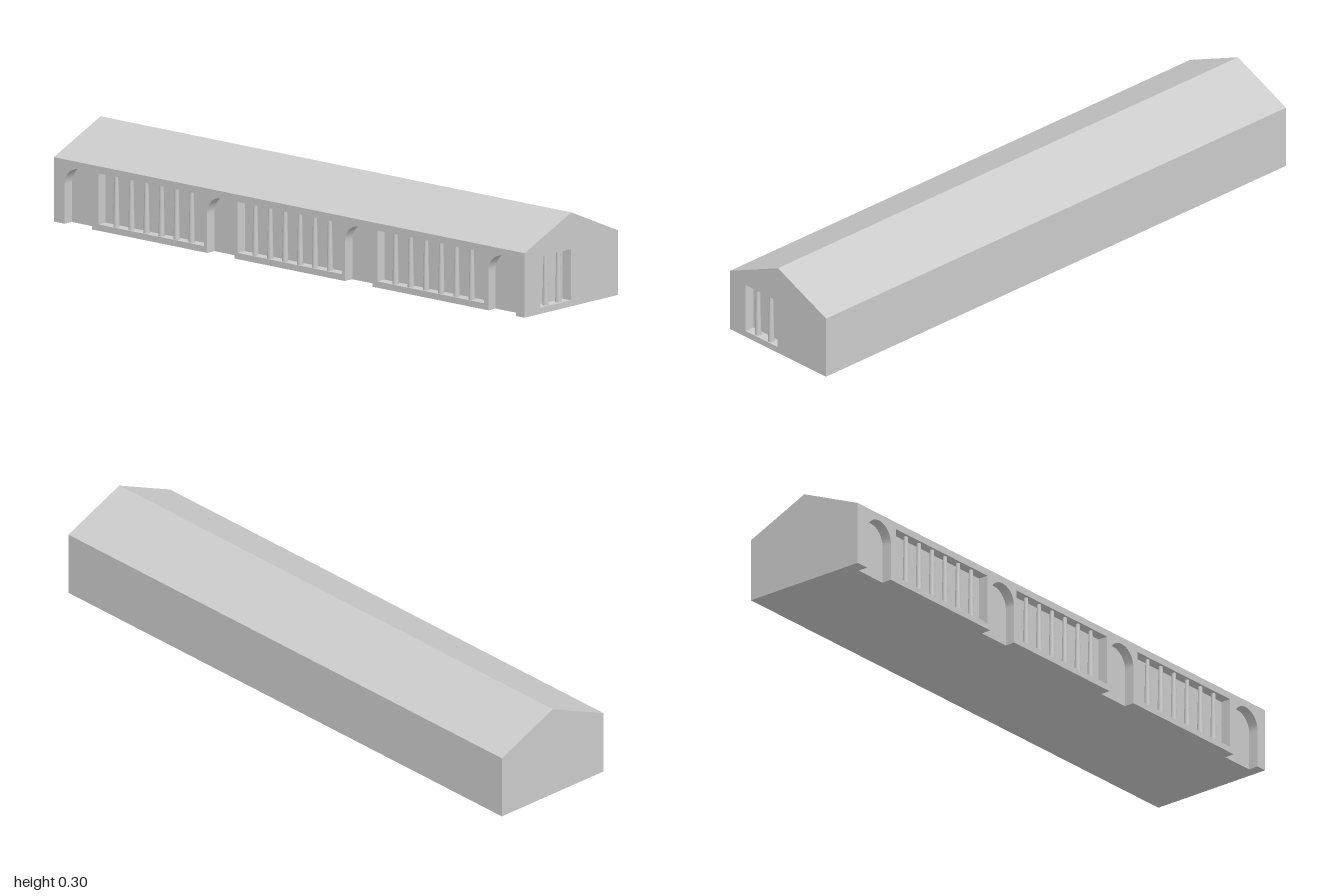
import * as THREE from 'three';

const HALF_W = 0.216, HALF_L = 0.993;   // half width and half length
const EAVE = 0.206, RIDGE = 0.3;
const DEPTH = 0.034;                    // depth of niches and openings
const SILL = 0.02, HEAD = 0.183;        // bottom and top of the openings

export function createModel() {
  const hall = new THREE.Group();
  hall.name = 'hall';
  const material = new THREE.MeshStandardMaterial({ color: 0xcccccc });

  const add = (geometry, name, x = 0, y = 0, z = 0) => {
    const mesh = new THREE.Mesh(geometry, material);
    mesh.name = name;
    mesh.position.set(x, y, z);
    hall.add(mesh);
    return mesh;
  };
  const polygon = (points) => new THREE.Shape(points.map(([x, y]) => new THREE.Vector2(x, y)));
  const rectangleHole = (a, b) => new THREE.Path(
    [[a, SILL], [a, HEAD], [b, HEAD], [b, SILL]].map(([x, y]) => new THREE.Vector2(x, y)));
  const extrude = (shape, depth) => new THREE.ExtrudeGeometry(shape, { depth, bevelEnabled: false, curveSegments: 16 });

  // Main body with gabled roof, stepped in behind the arcade wall
  const wallTop = 0.195;
  const body = polygon([
    [-HALF_W + DEPTH, 0], [HALF_W, 0], [HALF_W, EAVE], [0, RIDGE],
    [-HALF_W, EAVE], [-HALF_W, wallTop], [-HALF_W + DEPTH, wallTop],
  ]);
  add(extrude(body, 2 * HALF_L - DEPTH), 'body', 0, 0, -HALF_L);

  // Front gable wall with a rectangular opening
  const gable = polygon([[-HALF_W, 0], [HALF_W, 0], [HALF_W, EAVE], [0, RIDGE], [-HALF_W, EAVE]]);
  gable.holes.push(rectangleHole(-0.146, -0.003));
  add(extrude(gable, DEPTH), 'frontGable', 0, 0, HALF_L - DEPTH);

  // Arcade wall: arched niches cut up from the ground, bays cut as holes
  const arches = [[-0.947, -0.831], [-0.346, -0.23], [0.235, 0.351], [0.84, 0.956]];
  const bays = [[-0.805, -0.36], [-0.218, 0.222], [0.372, 0.822]];
  const end = HALF_L - DEPTH;
  const arcade = new THREE.Shape();
  arcade.moveTo(-HALF_L, 0);
  for (const [a, b] of arches) {
    const r = (b - a) / 2;
    arcade.lineTo(a, 0);
    arcade.lineTo(a, HEAD - r);
    arcade.absarc((a + b) / 2, HEAD - r, r, Math.PI, 0, true);
    arcade.lineTo(b, 0);
  }
  arcade.lineTo(end, 0);
  arcade.lineTo(end, wallTop);
  arcade.lineTo(-HALF_L, wallTop);
  arcade.closePath();
  bays.forEach(([a, b]) => arcade.holes.push(rectangleHole(a, b)));
  add(extrude(arcade, DEPTH).rotateY(-Math.PI / 2), 'arcadeWall', -HALF_W + DEPTH);

  // Tapered columns in the bays and in the front opening
  const columnGeometry = new THREE.CylinderGeometry(0.0065, 0.01, HEAD - SILL, 20);
  const columnY = (SILL + HEAD) / 2, inset = 0.014;
  for (const [a, b] of bays) {
    for (let i = 1; i <= 6; i++) {
      add(columnGeometry, 'bayColumn', -HALF_W + inset, columnY, a + (b - a) * i / 7);
    }
  }
  for (const x of [-0.104, -0.045]) {
    add(columnGeometry, 'frontColumn', x, columnY, HALF_L - inset);
  }

  // The hall stands slightly turned on its plot
  hall.rotation.y = 0.0363;
  const model = new THREE.Group();
  model.name = 'building';
  model.add(hall);
  return model;
}
